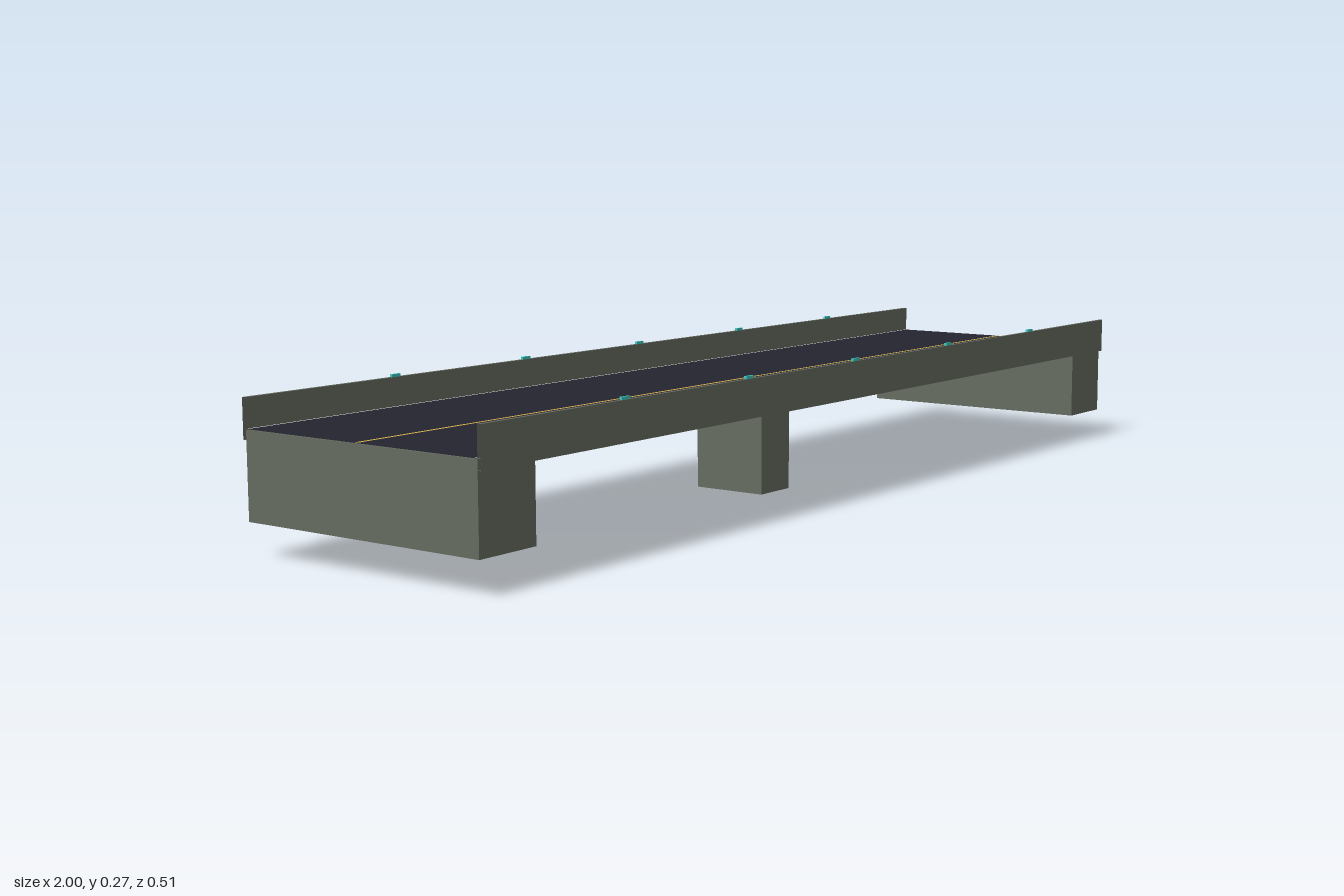
import * as THREE from 'three';

const LENGTH = 2;
const ROAD_Y = 0.21;

// Open-ended sheet swept along x through [z, y] points
function sweep(points) {
  const pos = [];
  const h = LENGTH / 2;
  for (let i = 0; i < points.length - 1; i++) {
    const [z0, y0] = points[i];
    const [z1, y1] = points[i + 1];
    pos.push(-h, y0, z0, h, y0, z0, h, y1, z1);
    pos.push(-h, y0, z0, h, y1, z1, -h, y1, z1);
  }
  const g = new THREE.BufferGeometry();
  g.setAttribute('position', new THREE.Float32BufferAttribute(pos, 3));
  g.computeVertexNormals();
  return g;
}

export function createModel() {
  const group = new THREE.Group();
  const material = (name, color, side = THREE.FrontSide) => {
    const m = new THREE.MeshStandardMaterial({ color, side });
    m.name = name;
    return m;
  };
  const concrete = material('concrete', 0x666c61, THREE.DoubleSide);
  const asphalt = material('asphalt', 0x252530, THREE.DoubleSide);
  const yellow = material('yellowPaint', 0xd8b24a, THREE.DoubleSide);
  const white = material('whitePaint', 0xd8d8d8, THREE.DoubleSide);
  const cyan = material('cyanLamp', 0x3cc8c0);

  const add = (name, geometry, mat, x = 0, y = 0, z = 0) => {
    const mesh = new THREE.Mesh(geometry, mat);
    mesh.name = name;
    mesh.position.set(x, y, z);
    group.add(mesh);
  };
  const box = (name, mat, w, y0, y1, d, x = 0, z = 0) =>
    add(name, new THREE.BoxGeometry(w, y1 - y0, d), mat, x, (y0 + y1) / 2, z);

  // Deck trough: both parapets, outer sides and underside
  add('deckAndParapets', sweep([
    [-0.25, ROAD_Y], [-0.25, 0.261], [-0.257, 0.261], [-0.257, 0.192],
    [0.257, 0.192], [0.257, 0.261], [0.25, 0.261], [0.25, ROAD_Y],
  ]), concrete);

  // Road surface and painted lines
  const stripe = (name, mat, z, width, y) =>
    add(name, sweep([[z + width / 2, y], [z - width / 2, y]]), mat);
  stripe('road', asphalt, 0, 0.5, ROAD_Y);
  stripe('centreLine', yellow, 0, 0.007, ROAD_Y + 0.001);

  // Central pier
  box('pier', concrete, 0.09, 0, 0.2, 0.15);

  for (const s of [-1, 1]) {
    // End abutments
    box('abutment', concrete, 0.125, 0.06, ROAD_Y - 0.001, 0.5, s * 0.9375);
    stripe('edgeLine', white, s * 0.245, 0.004, ROAD_Y + 0.001);
    // Small lamps on the parapet tops
    for (let i = -2; i <= 2; i++) {
      box('parapetLamp', cyan, 0.02, 0.261, 0.266, 0.005, i / 3, s * 0.2535);
    }
  }
  return group;
}
